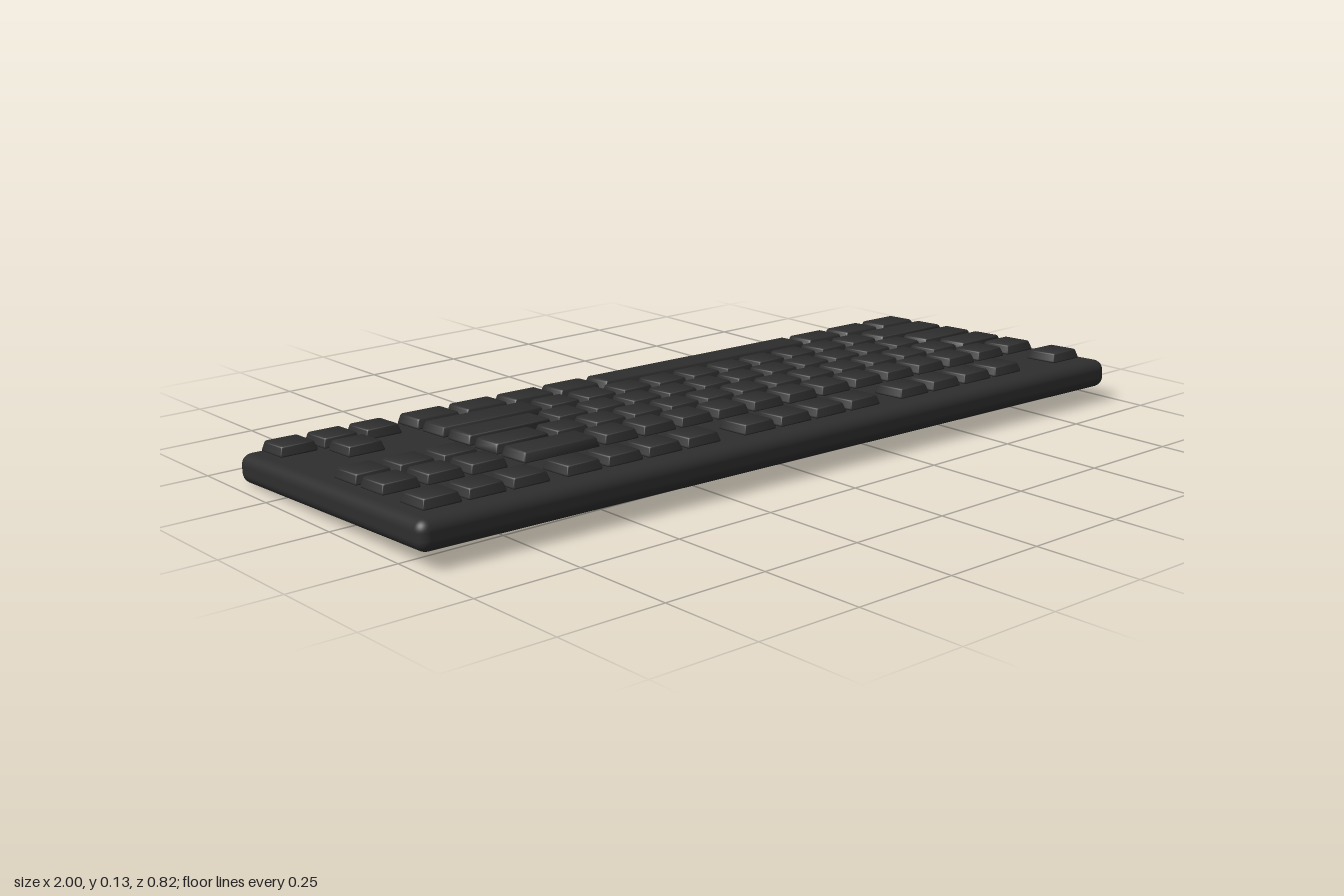
import * as THREE from 'three';
import { toCreasedNormals } from 'three/addons/utils/BufferGeometryUtils.js';
import { RoundedBoxGeometry } from 'three/addons/geometries/RoundedBoxGeometry.js';

const UNIT = 0.1043; // pitch of one key
const CASE = { w: 1.975, h: 0.067, d: 0.748 };
const KEY = { gap: 0.012, h: 0.024, lift: 0.004, taper: 0.007 };

const plastic = new THREE.MeshStandardMaterial({ color: 0x2e2e2e });
plastic.name = 'charcoalPlastic';

const ones = (n) => Array(n).fill(1);
const nav = [-0.25, 1, 1, 1];

// Key widths in units, starting from +x; a negative number is a gap
const rows = [
  { name: 'functionRow', z: 0.279, keys: [1, -1, ...ones(4), -0.5, ...ones(4), -0.5, ...ones(4), ...nav] },
  { name: 'numberRow', z: 0.127, keys: [...ones(13), 2, ...nav] },
  { name: 'upperLetterRow', z: 0.022, keys: [1.5, ...ones(12), 1.5, ...nav] },
  { name: 'homeRow', z: -0.083, keys: [1.75, ...ones(11), 2.25] },
  { name: 'lowerLetterRow', z: -0.188, keys: [2.25, ...ones(10), 2.75, -1.25, 1] },
  { name: 'spaceRow', z: -0.293, keys: [1.25, 1.25, 1.25, 6.25, 1.25, 1.25, 1.25, 1.25, ...nav] },
];

// Keycap: a rounded box drawn in towards its top
const capCache = new Map();
function keycapGeometry(units) {
  if (capCache.has(units)) return capCache.get(units);
  const box = new RoundedBoxGeometry(units * UNIT - KEY.gap, KEY.h, UNIT - KEY.gap, 2, 0.005);
  const p = box.attributes.position;
  for (let i = 0; i < p.count; i++) {
    const inset = KEY.taper * (p.getY(i) / KEY.h + 0.5);
    p.setX(i, p.getX(i) - Math.sign(p.getX(i)) * inset);
    p.setZ(i, p.getZ(i) - Math.sign(p.getZ(i)) * inset);
  }
  const geometry = toCreasedNormals(box, 0.7);
  capCache.set(units, geometry);
  return geometry;
}

const stemGeometry = new THREE.BoxGeometry(0.04, 0.014, 0.04);

function makeKey(units) {
  const key = new THREE.Group();
  key.name = 'key';
  const cap = new THREE.Mesh(keycapGeometry(units), plastic);
  cap.name = 'keycap';
  cap.position.y = KEY.lift + KEY.h / 2;
  const stem = new THREE.Mesh(stemGeometry, plastic);
  stem.name = 'keyStem';
  stem.position.y = 0.003;
  key.add(cap, stem);
  return key;
}

export function createModel() {
  const model = new THREE.Group();
  model.name = 'keyboard';

  // Whole keyboard is tilted up at +z and turned slightly
  const board = new THREE.Group();
  board.name = 'board';
  board.rotation.set(THREE.MathUtils.degToRad(-2.95), THREE.MathUtils.degToRad(-2.3), 0, 'YXZ');
  board.position.y = 0.052;
  model.add(board);

  // Case with soft edges
  const body = new THREE.Mesh(new RoundedBoxGeometry(CASE.w, CASE.h, CASE.d, 4, 0.025), plastic);
  body.name = 'case';
  board.add(body);

  // Key rows
  for (const { name, z, keys } of rows) {
    const row = new THREE.Group();
    row.name = name;
    row.position.set(-0.003, CASE.h / 2, z);
    let at = 18.25 / 2;
    for (const width of keys) {
      const size = Math.abs(width);
      if (width > 0) {
        const key = makeKey(width);
        key.position.x = (at - size / 2) * UNIT;
        row.add(key);
      }
      at -= size;
    }
    board.add(row);
  }
  return model;
}
